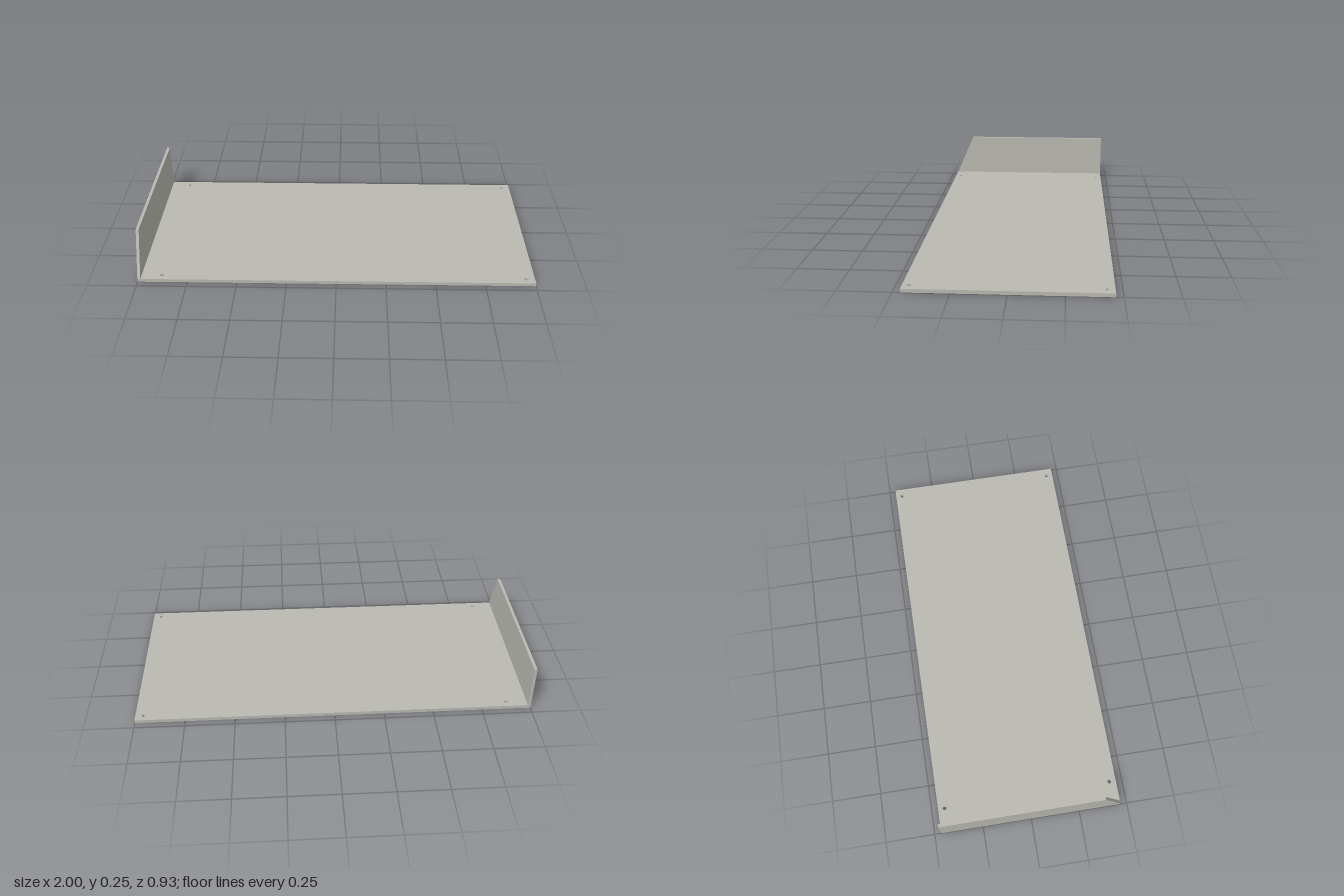
import * as THREE from 'three';

const HALF_X = 1, HALF_Z = 0.466, HEIGHT = 0.25;
const PLATE = 0.0175, WALL = 0.015;

export function createModel() {
  const group = new THREE.Group();
  group.name = 'mountingTray';
  const metal = new THREE.MeshStandardMaterial({ color: 0xb9b9b1 });
  metal.name = 'bare metal';

  // Flat base plate with four screw holes, drawn in plan (shape y = -z)
  const plan = new THREE.Shape([
    new THREE.Vector2(-HALF_X, -HALF_Z), new THREE.Vector2(HALF_X, -HALF_Z),
    new THREE.Vector2(HALF_X, HALF_Z), new THREE.Vector2(-HALF_X, HALF_Z),
  ]);
  for (const x of [-0.88, 0.957]) {
    for (const z of [-0.432, 0.432]) {
      plan.holes.push(new THREE.Path().absarc(x, z, 0.01, 0, Math.PI * 2, true));
    }
  }
  const plateGeometry = new THREE.ExtrudeGeometry(plan, { depth: PLATE, bevelEnabled: false, curveSegments: 16 });
  plateGeometry.rotateX(-Math.PI / 2);
  const plate = new THREE.Mesh(plateGeometry, metal);
  plate.name = 'basePlate';
  group.add(plate);

  // Upright side flange with a slanted front edge, drawn from the side (shape x = -z)
  const side = new THREE.Shape([
    new THREE.Vector2(-HALF_Z, PLATE), new THREE.Vector2(HALF_Z, PLATE),
    new THREE.Vector2(HALF_Z, HEIGHT), new THREE.Vector2(-0.363, HEIGHT),
  ]);
  const flangeGeometry = new THREE.ExtrudeGeometry(side, { depth: WALL, bevelEnabled: false });
  flangeGeometry.rotateY(Math.PI / 2);
  const flange = new THREE.Mesh(flangeGeometry, metal);
  flange.name = 'sideFlange';
  flange.position.x = -HALF_X;
  group.add(flange);

  return group;
}
